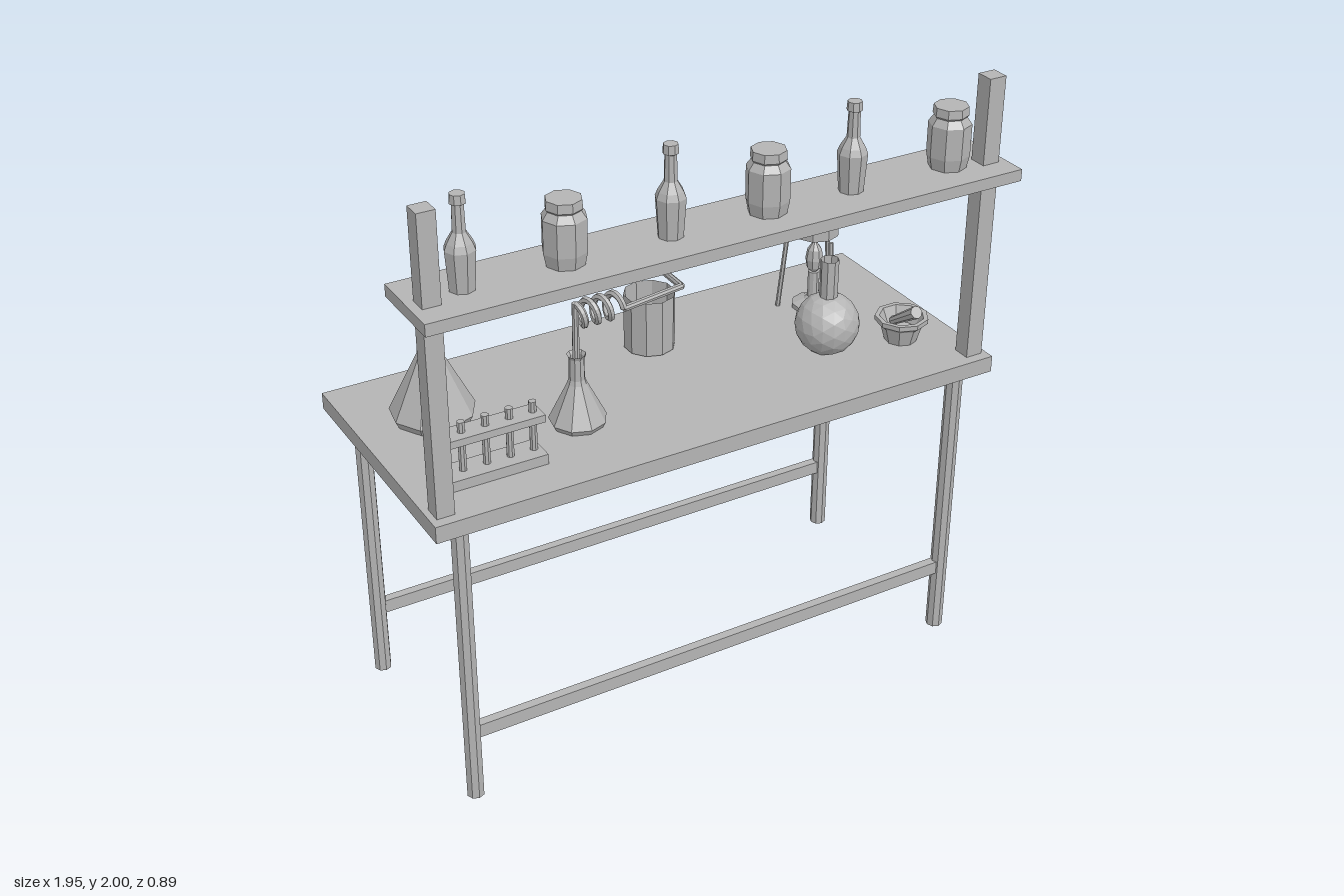
import * as THREE from 'three';

const grey = new THREE.MeshStandardMaterial({ color: 0xb4b4b4, flatShading: true, side: THREE.DoubleSide });
grey.name = 'plain grey';

const TOP = 1.055;    // work surface height
const SHELF = 1.718;  // shelf surface height

export function createModel() {
  const model = new THREE.Group();
  model.name = 'laboratoryBench';

  function add(name, geometry, x = 0, y = 0, z = 0, parent = model) {
    const mesh = new THREE.Mesh(geometry, grey);
    mesh.name = name;
    mesh.position.set(x, y, z);
    parent.add(mesh);
    return mesh;
  }
  // box given by its extents
  function box(name, x0, x1, y0, y1, z0, z1, parent) {
    return add(name, new THREE.BoxGeometry(x1 - x0, y1 - y0, z1 - z0),
      (x0 + x1) / 2, (y0 + y1) / 2, (z0 + z1) / 2, parent);
  }
  // turned part from [radius, height] pairs
  function lathe(name, profile, sides, x, y, z, parent) {
    const points = profile.map(([r, h]) => new THREE.Vector2(r, h));
    return add(name, new THREE.LatheGeometry(points, sides), x, y, z, parent);
  }
  // straight round rod between two points
  function rod(name, a, b, rA, rB, sides, parent) {
    const from = new THREE.Vector3(...a), to = new THREE.Vector3(...b);
    const dir = to.clone().sub(from);
    const mesh = add(name, new THREE.CylinderGeometry(rB, rA, dir.length(), sides), 0, 0, 0, parent);
    mesh.position.copy(from).add(to).multiplyScalar(0.5);
    mesh.quaternion.setFromUnitVectors(new THREE.Vector3(0, 1, 0), dir.normalize());
    return mesh;
  }
  function group(name) {
    const g = new THREE.Group();
    g.name = name;
    model.add(g);
    return g;
  }

  // Table
  const table = group('table');
  box('tableTop', -0.97, 0.965, 1.0, TOP, -0.445, 0.402, table);
  for (const z of [0.34, -0.383]) {
    for (const x of [-0.873, 0.868]) {
      add('leg', new THREE.CylinderGeometry(0.028, 0.028, 1, 8), x, 0.5, z, table);
    }
    box('stretcher', -0.87, 0.865, 0.222, 0.268, z - 0.015, z + 0.015, table);
  }

  // Raised shelf on two posts
  const rack = group('shelfUnit');
  box('post', -0.95, -0.894, TOP, 1.995, 0.31, 0.368, rack);
  box('post', 0.889, 0.947, TOP, 1.995, 0.31, 0.368, rack);
  box('shelf', -0.978, 0.975, 1.68, SHELF, 0.182, 0.446, rack);

  // Bottles and jars on the shelf
  const bottle = [[0, 0], [0.038, 0], [0.046, 0.12], [0.038, 0.14], [0.02, 0.17],
    [0.018, 0.25], [0.024, 0.253], [0.022, 0.28], [0, 0.28]];
  const jar = [[0, 0], [0.058, 0], [0.066, 0.04], [0.066, 0.14], [0.05, 0.162],
    [0.055, 0.168], [0.053, 0.195], [0, 0.195]];
  for (const x of [-0.808, -0.165, 0.446]) lathe('bottle', bottle, 8, x, SHELF, 0.31);
  for (const x of [-0.498, 0.156, 0.797]) lathe('jar', jar, 8, x, SHELF, 0.31);

  // Conical flasks
  lathe('largeConicalFlask', [[0, 0], [0.12, 0], [0.133, 0.025], [0.046, 0.2],
    [0.036, 0.22], [0.034, 0.32], [0.043, 0.335]], 9, -0.727, TOP, -0.152);
  lathe('smallConicalFlask', [[0, 0], [0.08, 0], [0.09, 0.018], [0.03, 0.14],
    [0.025, 0.155], [0.024, 0.225], [0.03, 0.237]], 9, -0.366, TOP, 0.103);

  // Test tube rack
  const tubes = group('testTubeRack');
  box('rackBase', -0.892, -0.547, TOP, 1.088, 0.167, 0.265, tubes);
  box('rackPlate', -0.892, -0.547, 1.192, 1.216, 0.177, 0.255, tubes);
  for (let i = 0; i < 5; i++) {
    add('testTube', new THREE.CylinderGeometry(0.012, 0.012, 0.18, 8), -0.872 + i * 0.0755, 1.16, 0.216, tubes);
  }

  // Coiled condenser pipe from the small flask to the beaker
  const coil = group('condenser');
  const path = [];
  const STEPS = 52, TURNS = 3.25;
  for (let i = 0; i <= STEPS; i++) {
    const t = i / STEPS, a = t * TURNS * Math.PI * 2;
    path.push(new THREE.Vector3(-0.362 + 0.14 * t, 1.42 + 0.035 * Math.cos(a), 0.1 + 0.035 * Math.sin(a)));
  }
  const end = path[STEPS];
  add('coil', new THREE.TubeGeometry(new THREE.CatmullRomCurve3(path), 78, 0.011, 6), 0, 0, 0, coil);
  rod('risingPipe', [-0.366, 1.27, 0.1], [-0.364, 1.46, 0.1], 0.011, 0.011, 8, coil);
  rod('straightPipe', [end.x, end.y, end.z], [0, 1.416, 0.09], 0.011, 0.011, 8, coil);
  rod('spout', [0, 1.416, 0.09], [0.06, 1.358, -0.21], 0.011, 0.011, 8, coil);

  // Open beaker below the spout
  lathe('beaker', [[0, 0.004], [0.083, 0.004], [0.084, 0.193]], 10, 0.055, TOP, -0.205);

  // Round flask
  const round = group('roundFlask');
  add('flaskBulb', new THREE.IcosahedronGeometry(0.104, 2), 0.54, 1.143, 0.088, round);
  add('flaskNeck', new THREE.CylinderGeometry(0.03, 0.029, 0.16, 8, 1, true), 0.54, 1.29, 0.088, round);

  // Mortar and pestle
  const mortar = group('mortarAndPestle');
  lathe('mortar', [[0, 0], [0.052, 0], [0.068, 0.055], [0.087, 0.07], [0.087, 0.086],
    [0.072, 0.086], [0.05, 0.035], [0, 0.025]], 9, 0.78, TOP, 0.16, mortar);
  rod('pestle', [0.78, 1.1, 0.115], [0.78, 1.185, 0.235], 0.014, 0.021, 8, mortar);

  // Burner with flame, tripod and hanging beaker
  const burner = group('burnerStand');
  const bx = 0.66, bz = -0.172;
  lathe('burnerBase', [[0, 0], [0.07, 0], [0.07, 0.015], [0.03, 0.03], [0.02, 0.04],
    [0.02, 0.13], [0, 0.13]], 10, bx, TOP, bz, burner);
  lathe('flame', [[0, 0.12], [0.025, 0.145], [0.03, 0.175], [0.024, 0.21], [0, 0.245]], 8, bx, TOP, bz, burner);
  for (let i = 0; i < 3; i++) {
    const a = Math.PI / 2 + i * Math.PI * 2 / 3, c = Math.cos(a), s = Math.sin(a);
    rod('tripodLeg', [bx + 0.116 * c, TOP, bz + 0.116 * s], [bx + 0.09 * c, 1.325, bz + 0.09 * s],
      0.008, 0.008, 6, burner);
  }
  lathe('heatedBeaker', [[0, 0], [0.077, 0], [0.078, 0.146]], 9, bx, 1.324, bz, burner);

  return model;
}
